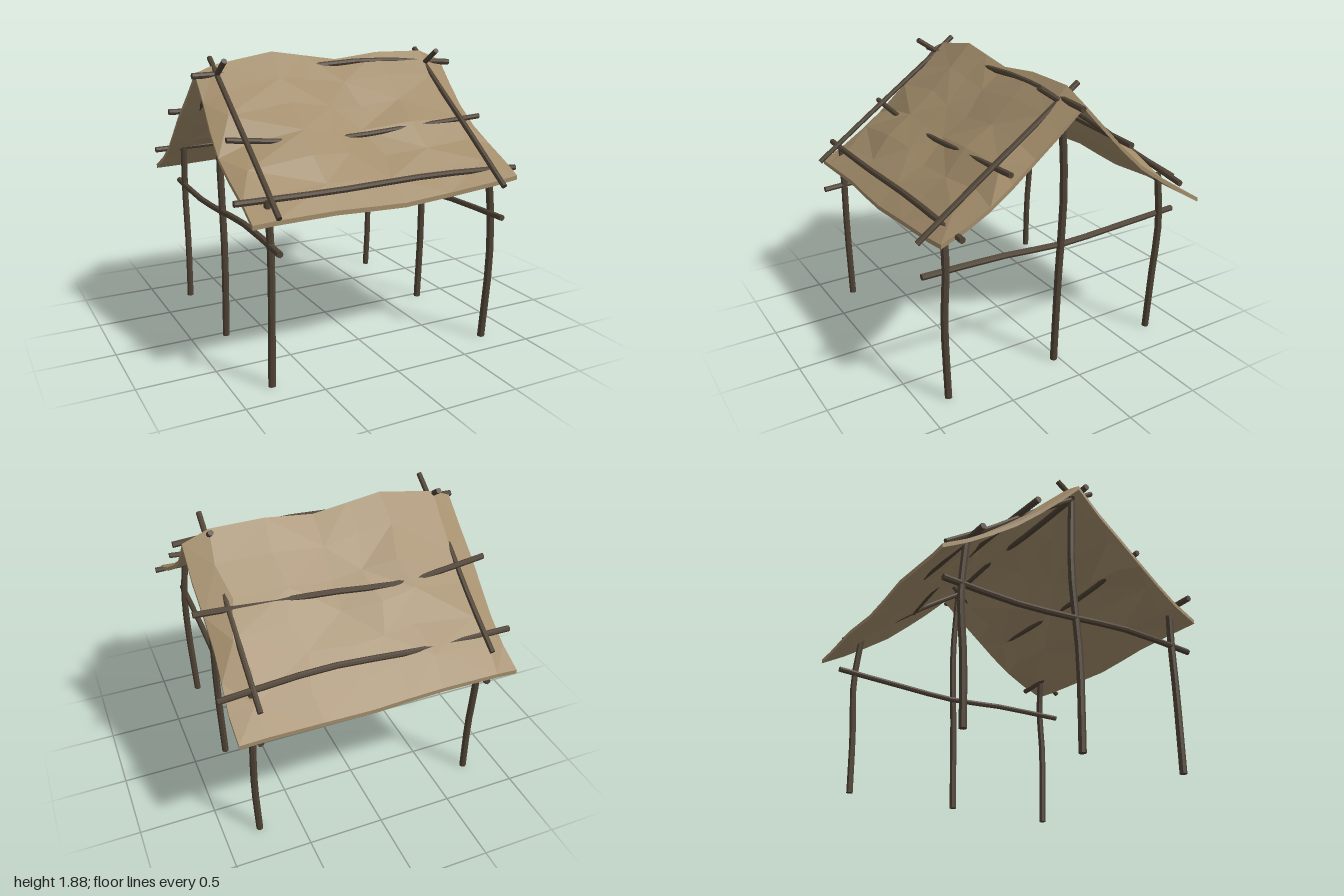
import * as THREE from 'three';

const wood = new THREE.MeshStandardMaterial({ color: 0x4f4335 });
wood.name = 'dark wood';
const hide = new THREE.MeshStandardMaterial({ color: 0xa28c6a });
hide.name = 'tan hide';

// Flat facets: unshared vertices with face normals
function faceted(geometry) {
  const g = geometry.index ? geometry.toNonIndexed() : geometry;
  g.computeVertexNormals();
  return g;
}

// Crooked pole: a cylinder whose rings follow a curve through a few points
function pole(name, points, radius) {
  const curve = new THREE.CatmullRomCurve3(points.map(p => new THREE.Vector3(...p)));
  const g = new THREE.CylinderGeometry(radius, radius, 1, 8, 8);
  const dir = curve.getPoint(1).sub(curve.getPoint(0)).normalize();
  const turn = new THREE.Quaternion().setFromUnitVectors(new THREE.Vector3(0, 1, 0), dir);
  const pos = g.attributes.position;
  const v = new THREE.Vector3();
  for (let i = 0; i < pos.count; i++) {
    v.fromBufferAttribute(pos, i);
    const t = THREE.MathUtils.clamp(v.y + 0.5, 0, 1);
    v.y = 0;
    v.applyQuaternion(turn).add(curve.getPoint(t));
    pos.setXYZ(i, v.x, v.y, v.z);
  }
  const mesh = new THREE.Mesh(faceted(g), wood);
  mesh.name = name;
  return mesh;
}

// Draped roof sheet: one grid folded over the ridge, with thickness
function roofSheet() {
  const xs = [-0.91, -0.77, -0.38, -0.15, 0.08, 0.4, 0.75, 0.91];
  const ridge = [1.765, 1.815, 1.88, 1.845, 1.81, 1.845, 1.84, 1.77];
  const front = [1.04, 1.05, 1.055, 1.05, 1.045, 1.065, 1.1, 1.12];
  const back = [0.985, 0.99, 1.005, 0.99, 0.975, 0.99, 0.985, 0.98];
  const sag = [0.075, 0.04, 0.02, 0.02, 0.025, 0.03, 0.045, 0.075];
  const half = 6, rows = 2 * half, cols = xs.length - 1;
  const thick = 0.028;

  const point = (r, c, under) => {
    const s = (r - half) / half;              // -1 back eave, 0 ridge, 1 front eave
    const t = Math.abs(s);
    const edge = c === 0 || c === cols;
    const inner = Math.sin(Math.PI * t);
    const ripple = Math.sin(r * 2.3 + c * 1.9) * Math.cos(r * 1.1 - c * 2.7);
    const y = THREE.MathUtils.lerp(ridge[c], (s > 0 ? front : back)[c], t)
      - sag[c] * inner + (edge ? 0.006 : 0.017) * ripple * inner;
    const z = -0.01 + (s > 0 ? 0.925 : 0.98) * s
      + (edge || t === 1 ? 0 : 0.02 * Math.sin(r * 1.7 + c * 2.1) * inner)
      + 0.006 * Math.sin(c * 2.2) * (t === 1 ? 1 : 0);
    const x = xs[c] + (edge ? 0.013 * Math.sin(r * 1.25 + c) : 0.04 * Math.sin(r * 2.9 + c) * inner);
    return [x, y - (under ? thick : 0), z];
  };

  const verts = [];
  const quad = (a, b, c, d, flip) => {
    if (flip) verts.push(...a, ...b, ...d, ...b, ...c, ...d);
    else verts.push(...a, ...b, ...c, ...a, ...c, ...d);
  };
  for (let r = 0; r < rows; r++) {
    for (let c = 0; c < cols; c++) {
      const flip = (r + c) % 2 === 0;
      quad(point(r, c), point(r + 1, c), point(r + 1, c + 1), point(r, c + 1), flip);
      quad(point(r, c + 1, true), point(r + 1, c + 1, true), point(r + 1, c, true), point(r, c, true), !flip);
    }
    // Gable edges
    quad(point(r, 0), point(r, 0, true), point(r + 1, 0, true), point(r + 1, 0));
    quad(point(r + 1, cols), point(r + 1, cols, true), point(r, cols, true), point(r, cols));
  }
  // Eave edges
  for (let c = 0; c < cols; c++) {
    quad(point(rows, c), point(rows, c, true), point(rows, c + 1, true), point(rows, c + 1));
    quad(point(0, c + 1), point(0, c + 1, true), point(0, c, true), point(0, c));
  }
  const g = new THREE.BufferGeometry();
  g.setAttribute('position', new THREE.Float32BufferAttribute(verts, 3));
  const mesh = new THREE.Mesh(faceted(g), hide);
  mesh.name = 'roofSheet';
  return mesh;
}

export function createModel() {
  const model = new THREE.Group();
  model.name = 'shelter';
  model.add(roofSheet());

  for (const side of [-1, 1]) {
    const x = side * 0.765;
    const bow = side > 0 ? 0.018 : 0.004;
    const label = side > 0 ? 'left' : 'right';
    const rx = x - 0.008;

    // Upright posts
    model.add(
      pole(label + 'FrontPost', [[x, 0, 0.82], [x + bow, 0.55, 0.825 + bow], [x + bow, 0.9, 0.825], [x - 0.01, 1.15, 0.82]], 0.024),
      pole(label + 'RidgePost', [[x, 0, 0.035], [x + bow, 0.6, 0.05 - bow], [x + bow, 1.2, 0.01], [x, 1.73, 0.03]], 0.024),
      pole(label + 'BackPost', [[x, 0, -0.755], [x + bow, 0.4, -0.76], [x + bow, 0.8, -0.785], [x, 1.15, -0.76]], 0.023)
    );

    // Tie beam across the gable
    const tie = side > 0 ? [0.86, 0.83, 0.845] : [0.895, 0.865, 0.845];
    model.add(pole(label + 'TieBeam', [[x, 0.87, 0.97], [x, tie[0], 0.42], [x, tie[1], 0], [x, tie[2], -0.4], [x, 0.87, -0.905]], 0.02));

    // Rafters crossing above the ridge
    model.add(
      pole(label + 'FrontRafter', [[rx, 1.08, 0.985], [rx, 1.34, 0.63], [rx, 1.575, 0.3], [rx, 1.85, -0.085]], 0.018),
      pole(label + 'BackRafter', [[rx, 1.1, -0.9], [rx, 1.31, -0.58], [rx, 1.55, -0.26], [rx, 1.855, 0.19]], 0.018)
    );
  }

  // Long poles under the roof
  model.add(
    pole('ridgePole', [[-0.93, 1.755, 0.03], [-0.3, 1.765, 0.03], [0.28, 1.793, 0.03], [0.97, 1.755, 0.03]], 0.02),
    pole('frontEavePole', [[-0.97, 1.145, 0.815], [-0.35, 1.145, 0.815], [0.32, 1.163, 0.815], [0.97, 1.145, 0.815]], 0.02),
    pole('backEavePole', [[-0.97, 1.145, -0.765], [-0.3, 1.16, -0.775], [0.32, 1.215, -0.79], [0.97, 1.145, -0.765]], 0.02),
    pole('frontPurlin', [[-0.88, 1.43, 0.475], [-0.3, 1.375, 0.47], [0.42, 1.405, 0.47], [0.92, 1.435, 0.475]], 0.018),
    pole('backPurlin', [[-0.97, 1.475, -0.38], [-0.35, 1.45, -0.44], [0.15, 1.475, -0.41], [0.97, 1.475, -0.34]], 0.02)
  );
  return model;
}
